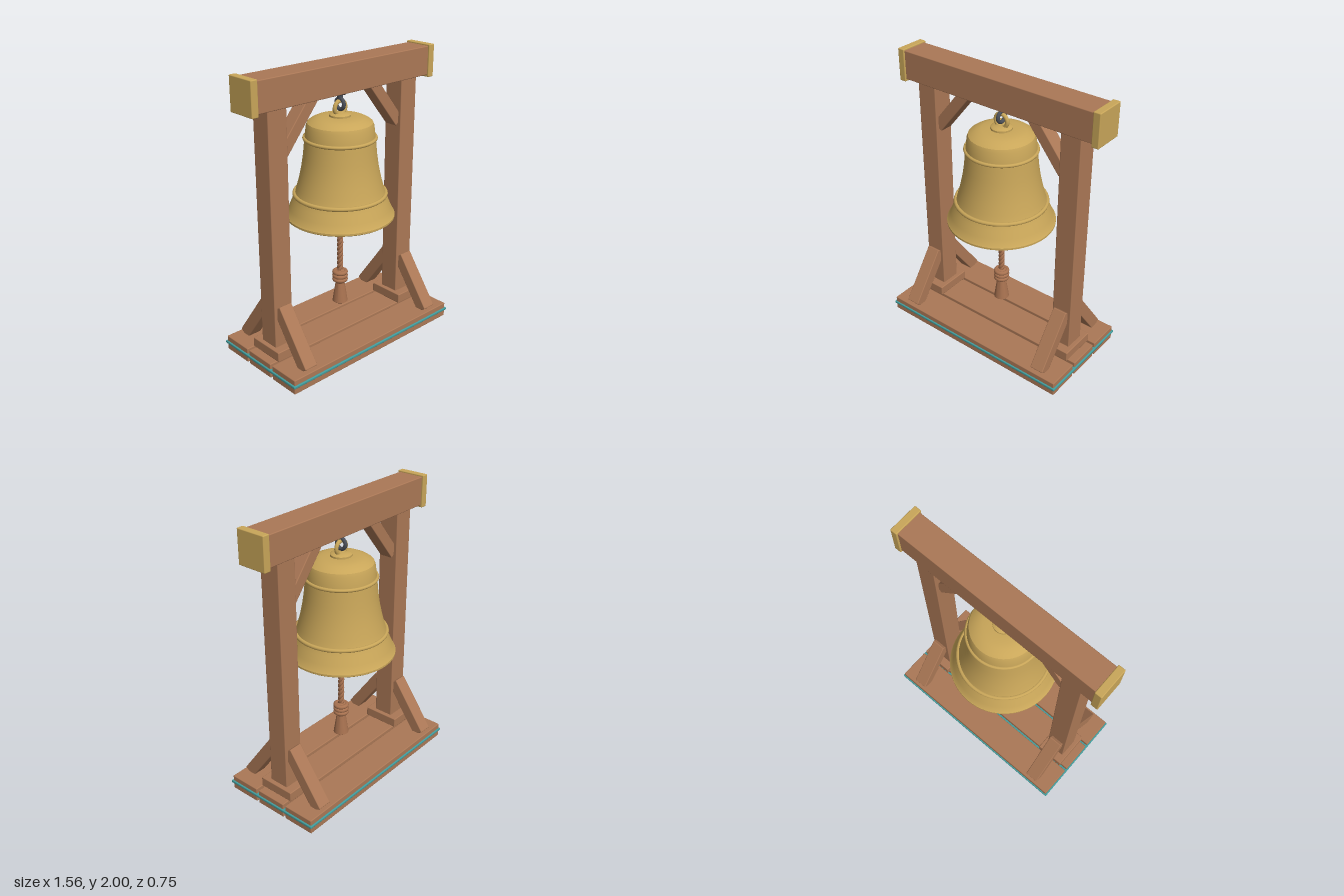
import * as THREE from 'three';
import { toCreasedNormals } from 'three/addons/utils/BufferGeometryUtils.js';
import { RoundedBoxGeometry } from 'three/addons/geometries/RoundedBoxGeometry.js';

const material = (name, color) => {
  const m = new THREE.MeshStandardMaterial({ color });
  m.name = name;
  return m;
};

export function createModel() {
  const wood = material('wood', 0xab7856);
  const brass = material('brass', 0xc9a659);
  const teal = material('teal trim', 0x439c9c);
  const iron = material('dark iron', 0x4b4f58);
  const rope = material('rope', 0xa87250);

  const model = new THREE.Group();
  model.name = 'bellStand';

  const add = (name, geometry, mat, x = 0, y = 0, z = 0) => {
    const mesh = new THREE.Mesh(geometry, mat);
    mesh.name = name;
    mesh.position.set(x, y, z);
    model.add(mesh);
    return mesh;
  };
  const box = (name, mat, size, x, y, z) =>
    add(name, new RoundedBoxGeometry(...size, 2, 0.006), mat, x, y, z);
  const lathe = (name, mat, points, segments = 48) =>
    add(name, toCreasedNormals(new THREE.LatheGeometry(
      points.map(([r, y]) => new THREE.Vector2(r, y)), segments), 0.6), mat);
  const ring = (name, mat, radius, tube, y, segments = 48) =>
    add(name, new THREE.TorusGeometry(radius, tube, 10, segments), mat, 0, y, 0);

  // Base: three planks with a teal layer showing at the rim and in the gaps
  box('middlePlank', wood, [1.46, 0.105, 0.23], 0, 0.0525, 0);
  for (const s of [-1, 1]) box('outerPlank', wood, [1.46, 0.105, 0.232], 0, 0.0525, s * 0.25);
  box('tealTrim', teal, [1.48, 0.02, 0.75], 0, 0.057, 0);

  // Two posts with footings and braces
  for (const s of [-1, 1]) {
    box('post', wood, [0.145, 1.70, 0.145], s * 0.572, 0.945, 0);
    box('footing', wood, [0.205, 0.07, 0.27], s * 0.572, 0.14, 0);
    for (const f of [-1, 1]) {
      const brace = box('footBrace', wood, [0.1, 0.437, 0.085], s * 0.572, 0.278, f * 0.188);
      brace.rotation.x = -f * Math.atan2(0.255, 0.355);
    }
    const upper = box('upperBrace', wood, [0.08, 0.405, 0.1], s * 0.384, 1.648, 0);
    upper.rotation.z = s * Math.atan2(0.255, 0.315);
    box('beamCap', brass, [0.05, 0.225, 0.212], s * 0.755, 1.8875, 0);
  }
  box('beam', wood, [1.47, 0.2, 0.19], 0, 1.89, 0);

  // Hollow bell: inside from crown to lip, then outside back up
  lathe('bell', brass, [
    [0, 1.57], [0.15, 1.565], [0.19, 1.53], [0.205, 1.46], [0.222, 1.3],
    [0.25, 1.18], [0.28, 1.08], [0.335, 0.94], [0.345, 0.925],
    [0.362, 0.925], [0.371, 0.932], [0.371, 0.945], [0.362, 0.956],
    [0.345, 0.995], [0.322, 1.05], [0.305, 1.09], [0.291, 1.14], [0.275, 1.2],
    [0.258, 1.28], [0.246, 1.36], [0.238, 1.44], [0.233, 1.49], [0.224, 1.56],
    [0.216, 1.582], [0.195, 1.597], [0.165, 1.611], [0.13, 1.621], [0.072, 1.622],
    [0.072, 1.634], [0.06, 1.642], [0, 1.644],
  ], 64);
  ring('lowerBellBand', brass, 0.308, 0.014, 1.09, 64).rotation.x = Math.PI / 2;
  ring('upperBellBand', brass, 0.236, 0.012, 1.478, 64).rotation.x = Math.PI / 2;
  ring('bellLoop', brass, 0.046, 0.014, 1.677);

  // Iron hanger under the beam
  lathe('hangerPlate', iron, [[0, 1.735], [0.018, 1.735], [0.02, 1.763], [0.04, 1.768],
    [0.05, 1.778], [0.05, 1.792], [0, 1.792]], 24);
  ring('hangerLoop', iron, 0.036, 0.013, 1.703, 32).rotation.y = Math.PI / 2;

  // Clapper
  add('clapperRod', new THREE.CylinderGeometry(0.014, 0.014, 0.76, 16), iron, 0, 1.2, 0);
  add('clapperBall', new THREE.SphereGeometry(0.067, 32, 20), iron, 0, 0.995, 0).scale.y = 1.12;
  lathe('clapperTail', iron, [[0, 0.815], [0.01, 0.815], [0.011, 0.85], [0.016, 0.87],
    [0.016, 0.94], [0, 0.94]], 16);
  ring('clapperEye', iron, 0.018, 0.007, 0.8, 24).rotation.y = Math.PI / 2;

  // Twisted pull rope of three strands
  for (let k = 0; k < 3; k++) {
    const points = [];
    for (let i = 0; i <= 48; i++) {
      const a = (i / 48) * Math.PI * 6 + (k * Math.PI * 2) / 3;
      points.push(new THREE.Vector3(Math.cos(a) * 0.01, 0.795 - 0.31 * (i / 48), Math.sin(a) * 0.01));
    }
    add('ropeStrand', new THREE.TubeGeometry(new THREE.CatmullRomCurve3(points), 72, 0.0125, 8), rope);
  }
  add('ropeTop', new THREE.SphereGeometry(0.02, 16, 10), rope, 0, 0.79, 0);

  // Knot and flared tassel
  for (const y of [0.488, 0.46, 0.432]) ring('knotCoil', rope, 0.04, 0.0155, y, 32).rotation.x = Math.PI / 2;
  lathe('tassel', rope, [[0, 0.26], [0.048, 0.257], [0.054, 0.262], [0.032, 0.405],
    [0.04, 0.42], [0.04, 0.495], [0.02, 0.505], [0, 0.505]], 24);

  return model;
}
